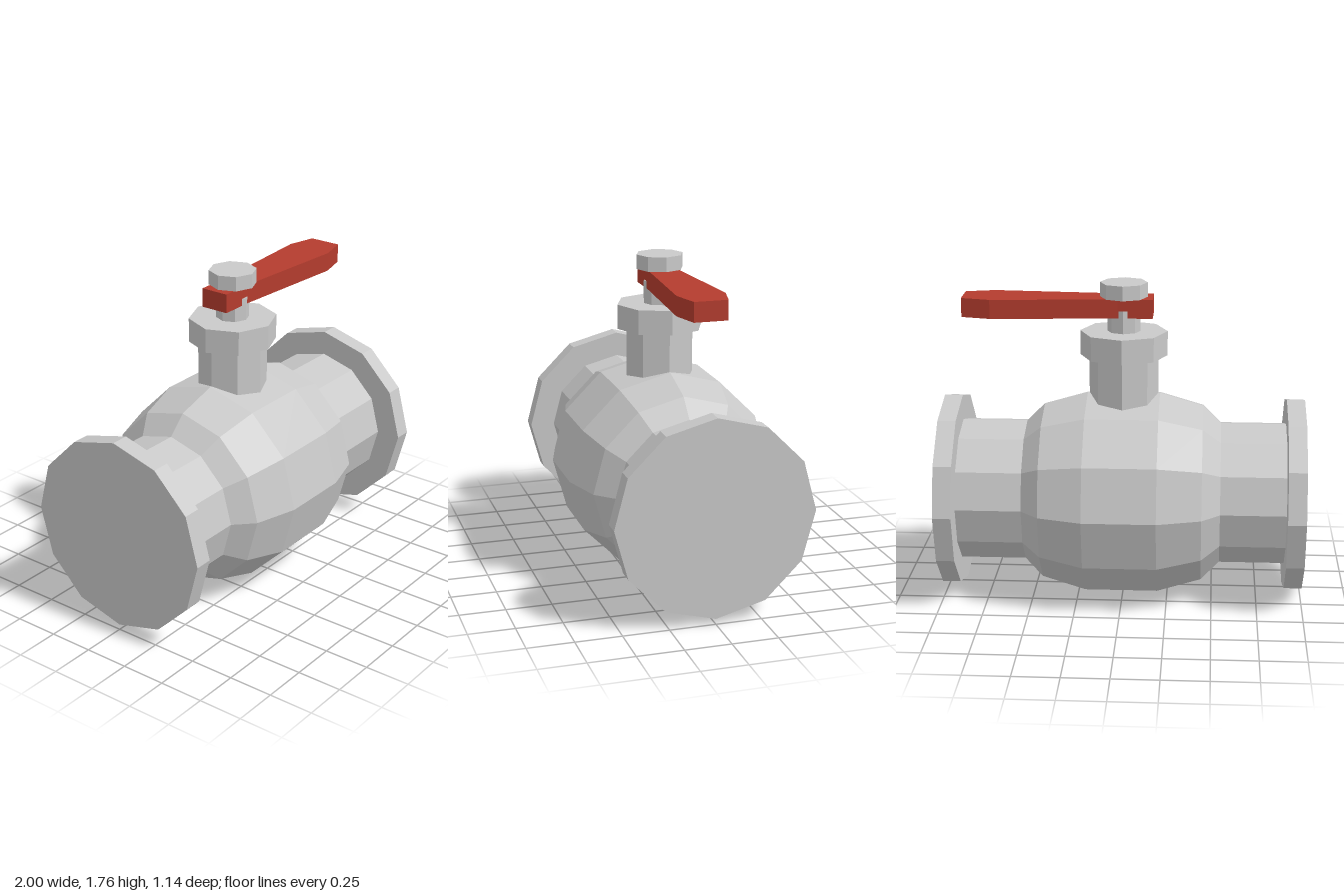
import * as THREE from 'three';

const SIDES = 12, AXIS_Y = 0.57;

export function createModel() {
  const model = new THREE.Group();
  model.name = 'ballValve';

  const steel = new THREE.MeshStandardMaterial({ color: 0xc9c9c9, flatShading: true });
  steel.name = 'steel grey';
  const red = new THREE.MeshStandardMaterial({ color: 0xb43c2e, flatShading: true });
  red.name = 'handle red';

  const add = (name, geometry, material, parent = model) => {
    const mesh = new THREE.Mesh(geometry, material);
    mesh.name = name;
    parent.add(mesh);
    return mesh;
  };

  // Horizontal pipework, built along y and laid over onto x
  const pipework = new THREE.Group();
  pipework.name = 'pipework';
  pipework.rotation.z = -Math.PI / 2;
  pipework.position.y = AXIS_Y;
  model.add(pipework);

  // Bulging valve body
  const profile = [[0.4, -0.54], [0.5, -0.44], [0.57, -0.2], [0.57, 0.2], [0.5, 0.44], [0.4, 0.54]]
    .map(([r, h]) => new THREE.Vector2(r, h));
  add('valveBody', new THREE.LatheGeometry(profile, SIDES), steel, pipework);

  // Pipe stub and closed flange at each end
  for (const [side, s] of [['left', 1], ['right', -1]]) {
    add(side + 'Pipe', new THREE.CylinderGeometry(0.4, 0.4, 0.36, SIDES, 1, true), steel, pipework)
      .position.y = s * 0.72;
    add(side + 'Flange', new THREE.CylinderGeometry(0.54, 0.54, 0.1, SIDES), steel, pipework)
      .position.y = s * 0.95;
  }

  // Octagonal upright parts: name, radius, bottom, top
  for (const [name, r, y0, y1] of [
    ['neck', 0.19, 1.0, 1.355],
    ['collar', 0.24, 1.355, 1.49],
    ['stem', 0.09, 1.49, 1.615],
    ['topNut', 0.13, 1.68, 1.76],
  ]) {
    add(name, new THREE.CylinderGeometry(r, r, y1 - y0, 8), steel).position.y = (y0 + y1) / 2;
  }

  // Lever handle, widening towards its tip
  const half = [[-0.16, 0.08], [0.03, 0.08], [0.72, 0.13], [0.88, 0.09]];
  const outline = [...half.map(([x, w]) => [x, -w]), ...half.slice().reverse()]
    .map(([x, w]) => new THREE.Vector2(x, w));
  const lever = new THREE.ExtrudeGeometry(new THREE.Shape(outline), { depth: 0.105, bevelEnabled: false });
  lever.rotateX(-Math.PI / 2);
  add('leverHandle', lever, red).position.y = 1.575;

  return model;
}
